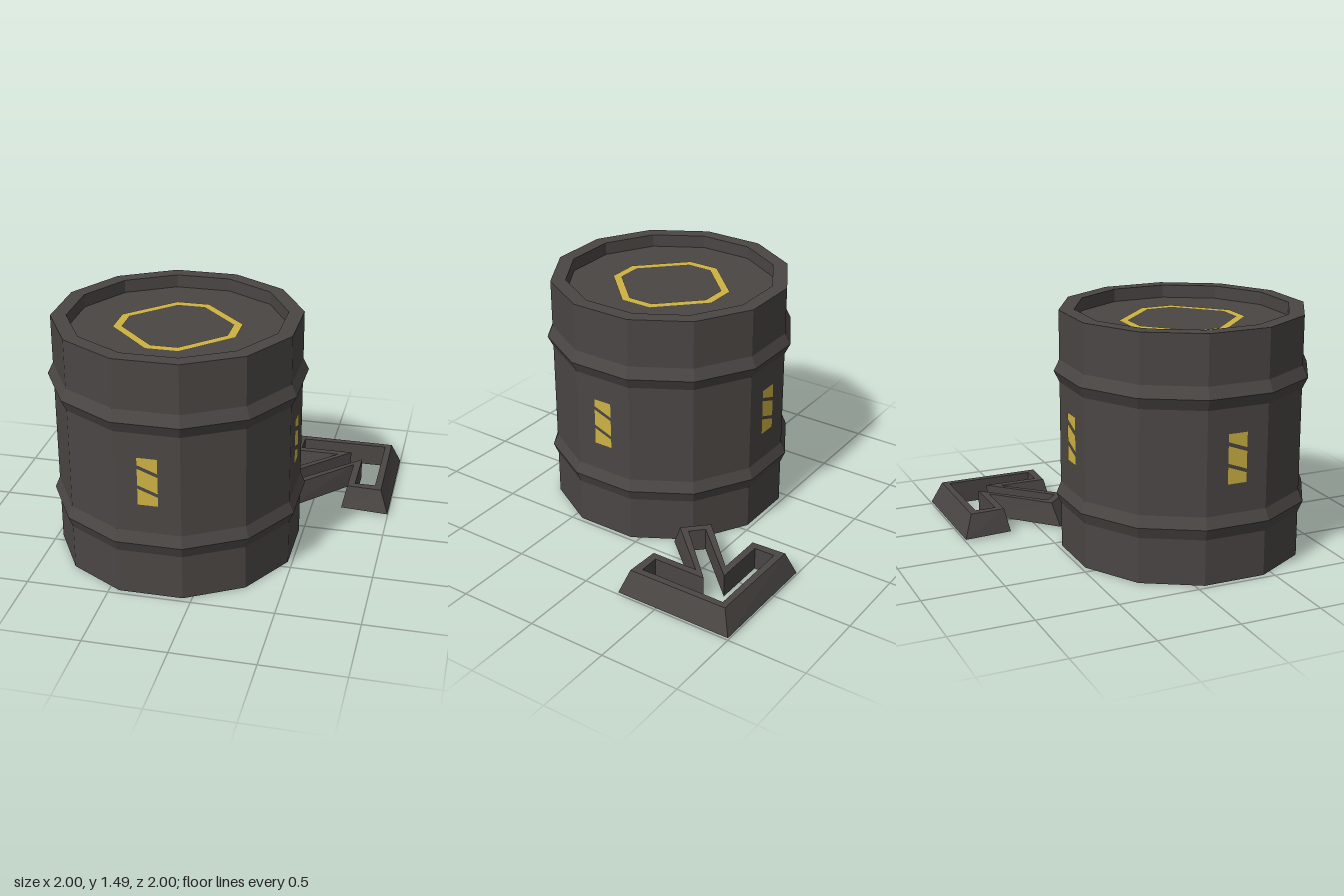
import * as THREE from 'three';

const dark = new THREE.MeshStandardMaterial({ color: 0x4a4644 });
dark.name = 'dark metal';
const yellow = new THREE.MeshStandardMaterial({ color: 0xcdb242 });
yellow.name = 'yellow paint';

const APOTHEM = 0.72; // centre to the middle of a flat barrel side

function mesh(geometry, material, name) {
  const m = new THREE.Mesh(geometry, material);
  m.name = name;
  return m;
}

function faceted(geometry) {
  const g = geometry.index ? geometry.toNonIndexed() : geometry;
  g.computeVertexNormals();
  return g;
}

const shapeOf = (pts) => new THREE.Shape(pts.map(([x, y]) => new THREE.Vector2(x, y)));

// Twelve-sided drum with two ridges and sunken ends
function drumBody() {
  const profile = [
    [0, 0.1], [0.63, 0.1], [0.63, 0], [APOTHEM, 0],
    [APOTHEM, 0.28], [0.748, 0.35], [APOTHEM, 0.42],
    [APOTHEM, 1.05], [0.753, 1.12], [APOTHEM, 1.19],
    [APOTHEM, 1.49], [0.63, 1.49], [0.63, 1.41], [0, 1.41],
  ].map(([a, y]) => new THREE.Vector2(a / Math.cos(Math.PI / 12), y));
  return faceted(new THREE.LatheGeometry(profile, 12, Math.PI / 12));
}

// Corner points of a square with cut corners
function octagon(a, c) {
  return [[a, -c], [a, c], [c, a], [-c, a], [-a, c], [-a, -c], [-c, -a], [c, -a]];
}

function lidRing() {
  const shape = shapeOf(octagon(0.37, 0.1));
  shape.holes.push(shapeOf(octagon(0.318, 0.082)));
  return new THREE.ShapeGeometry(shape).rotateX(-Math.PI / 2);
}

// Slanted marking in three pieces: [left bottom, right bottom, right top, left top]
function marking() {
  const w = 0.06;
  const pieces = [[0.6, 0.6, 0.658, 0.703], [0.725, 0.68, 0.785, 0.83], [0.853, 0.808, 0.9, 0.9]];
  return new THREE.ShapeGeometry(pieces.map(([a, b, c, d]) => shapeOf([[-w, a], [w, b], [w, c], [-w, d]])));
}

// Full outline from one half, mirrored over the arrow's diagonal
function arrowLoop(y, half) {
  const other = half.slice(1).reverse().map(([x, z]) => [-z, -x]);
  return [...half, ...other].map(([x, z]) => [x, y, z]);
}

// Hollow arrow frame: sloped outside, flat top, straight opening
function arrowFrame() {
  const base = [[1, -1], [0.24, -1], [0.265, -0.695], [0.55, -0.695], [0.21, -0.38]];
  const top = [[0.94, -0.94], [0.29, -0.945], [0.30, -0.725], [0.60, -0.725], [0.275, -0.412]];
  const hole = [[0.9, -0.9], [0.345, -0.9], [0.345, -0.77], [0.685, -0.77], [0.34, -0.415]];
  const low = 0.015, high = 0.16;
  const rings = [arrowLoop(low, base), arrowLoop(high, top), arrowLoop(high, hole), arrowLoop(low, hole)];
  const positions = [];
  rings.forEach((a, r) => {
    const b = rings[(r + 1) % rings.length];
    a.forEach((p, i) => {
      const j = (i + 1) % a.length;
      positions.push(...p, ...a[j], ...b[j], ...p, ...b[j], ...b[i]);
    });
  });
  const g = new THREE.BufferGeometry();
  g.setAttribute('position', new THREE.Float32BufferAttribute(positions, 3));
  return faceted(g);
}

export function createModel() {
  const model = new THREE.Group();
  model.name = 'barrelWithArrow';

  const barrel = new THREE.Group();
  barrel.name = 'barrel';
  barrel.position.set(-0.247, 0, 0.247);
  barrel.add(mesh(drumBody(), dark, 'drumBody'));

  const ring = mesh(lidRing(), yellow, 'lidRing');
  ring.position.y = 1.414;
  barrel.add(ring);

  // One marking on each of the four main sides
  for (let i = 0; i < 4; i++) {
    const g = marking().translate(0, 0, APOTHEM + 0.004).rotateY((i * Math.PI) / 2);
    barrel.add(mesh(g, yellow, 'sideMarking' + (i + 1)));
  }

  model.add(barrel, mesh(arrowFrame(), dark, 'groundArrow'));
  return model;
}
